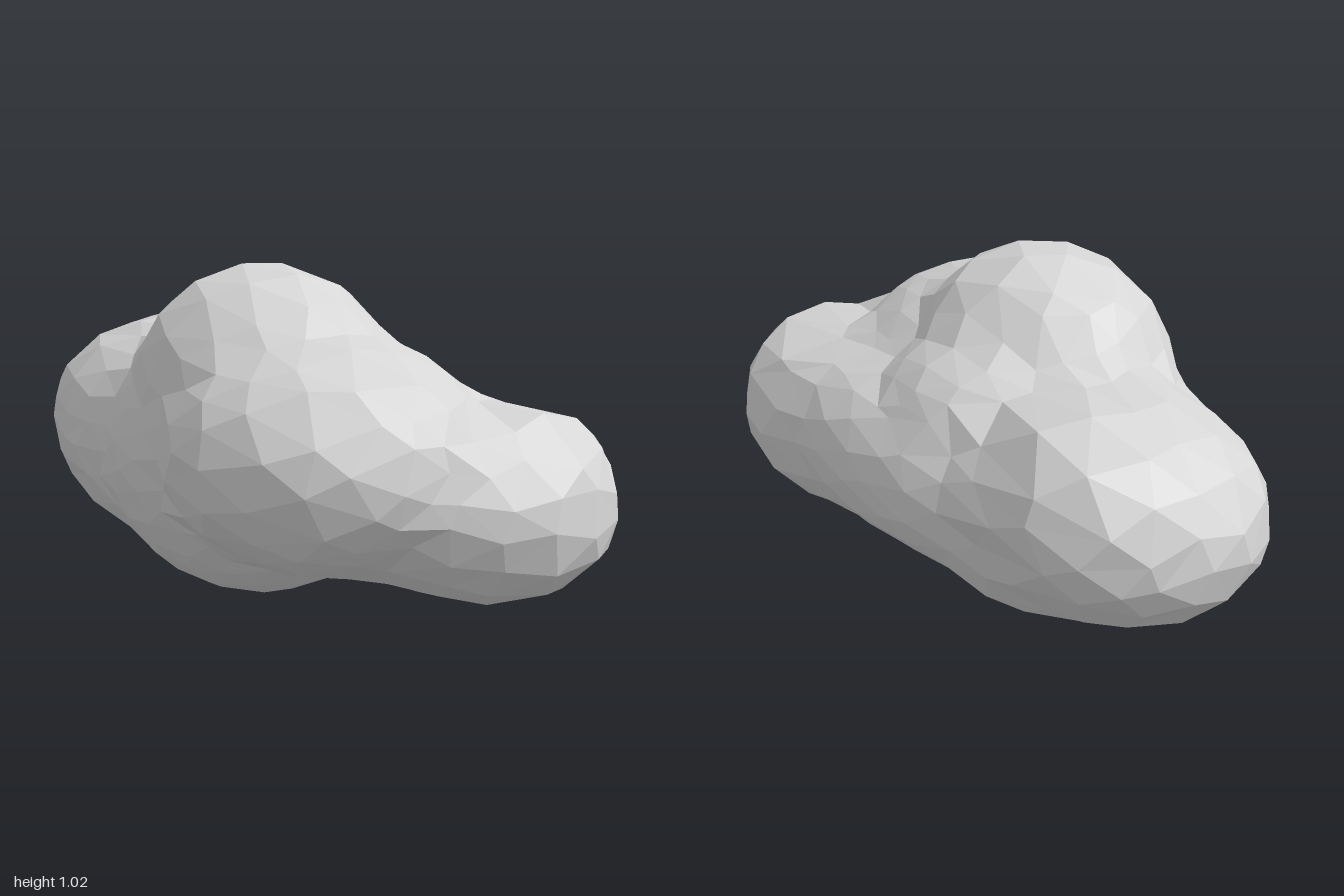
import * as THREE from 'three';

// Overlapping lobes of the boulder: centre, radii, squareness exponent
const LOBES = [
  { c: [-0.52, 0.46, -0.13], r: [0.48, 0.32, 0.38], p: 2.1 }, // left end
  { c: [-0.6, 0.51, -0.3], r: [0.35, 0.28, 0.27], p: 2.1 }, // left end, high back
  { c: [-0.45, 0.41, 0.01], r: [0.42, 0.31, 0.29], p: 2 }, // left end, low front
  { c: [-0.32, 0.36, -0.16], r: [0.42, 0.29, 0.36], p: 2 }, // underside, left
  { c: [0.2, 0.36, -0.16], r: [0.45, 0.27, 0.36], p: 2 }, // underside, right
  { c: [-0.12, 0.42, 0.03], r: [0.5, 0.42, 0.38], p: 2 }, // core and belly
  { c: [-0.04, 0.68, 0.05], r: [0.4, 0.335, 0.35], p: 2 }, // crown
  { c: [-0.08, 0.52, -0.17], r: [0.39, 0.31, 0.34], p: 2 }, // slope behind the crown
  { c: [0.25, 0.5, 0.13], r: [0.49, 0.35, 0.46], p: 2 }, // front bulge
  { c: [0.57, 0.35, -0.18], r: [0.42, 0.285, 0.355], p: 2.2 }, // right end
  { c: [0.7, 0.43, -0.19], r: [0.27, 0.23, 0.27], p: 2 }, // right shoulder
  { c: [0.5, 0.38, 0.02], r: [0.38, 0.25, 0.26], p: 2 }, // saddle from bulge to right end
  { c: [0.05, 0.42, -0.26], r: [0.62, 0.26, 0.32], p: 2.2 }, // flat back
];
const CENTRE = new THREE.Vector3(0, 0.44, -0.05);

// Blended union of the lobes: above the threshold means inside the rock
function density(v) {
  let sum = 0;
  for (const { c, r, p } of LOBES) {
    const g = Math.abs((v.x - c[0]) / r[0]) ** p + Math.abs((v.y - c[1]) / r[1]) ** p + Math.abs((v.z - c[2]) / r[2]) ** p;
    sum += Math.max(g, 1e-4) ** (-28 / p);
  }
  return sum;
}

// Outermost surface point along a ray from the centre
function project(dir, out) {
  const at = (t) => density(out.copy(CENTRE).addScaledVector(dir, t)) > 0.75;
  let hi = 1.4;
  while (hi > 0.05 && !at(hi - 0.02)) hi -= 0.02;
  let lo = hi - 0.02;
  for (let i = 0; i < 12; i++) {
    const mid = (lo + hi) / 2;
    if (at(mid)) lo = mid;
    else hi = mid;
  }
  return out.copy(CENTRE).addScaledVector(dir, lo);
}

function rockGeometry() {
  const geo = new THREE.IcosahedronGeometry(1, 5);
  const pos = geo.attributes.position;
  const d = new THREE.Vector3();
  const v = new THREE.Vector3();
  for (let i = 0; i < pos.count; i++) {
    d.fromBufferAttribute(pos, i);
    // uneven facets: shift each direction a little before projecting
    const { x, y, z } = d;
    d.x += 0.04 * Math.sin(17 * y + 11 * z);
    d.y += 0.04 * Math.sin(19 * z + 13 * x);
    d.z += 0.04 * Math.sin(15 * x + 21 * y);
    // spread directions so facets stay even along the long axis
    d.set(d.x * 0.85, d.y * 0.5, d.z * 0.58).normalize();
    project(d, v);
    pos.setXYZ(i, v.x, v.y, v.z);
  }
  geo.deleteAttribute('uv');
  geo.computeVertexNormals();
  return geo;
}

export function createModel() {
  const stone = new THREE.MeshStandardMaterial({ color: 0xd6d6d6, flatShading: true });
  stone.name = 'stone grey';
  const rock = new THREE.Mesh(rockGeometry(), stone);
  rock.name = 'boulder';
  const group = new THREE.Group();
  group.name = 'rock';
  group.add(rock);
  return group;
}
